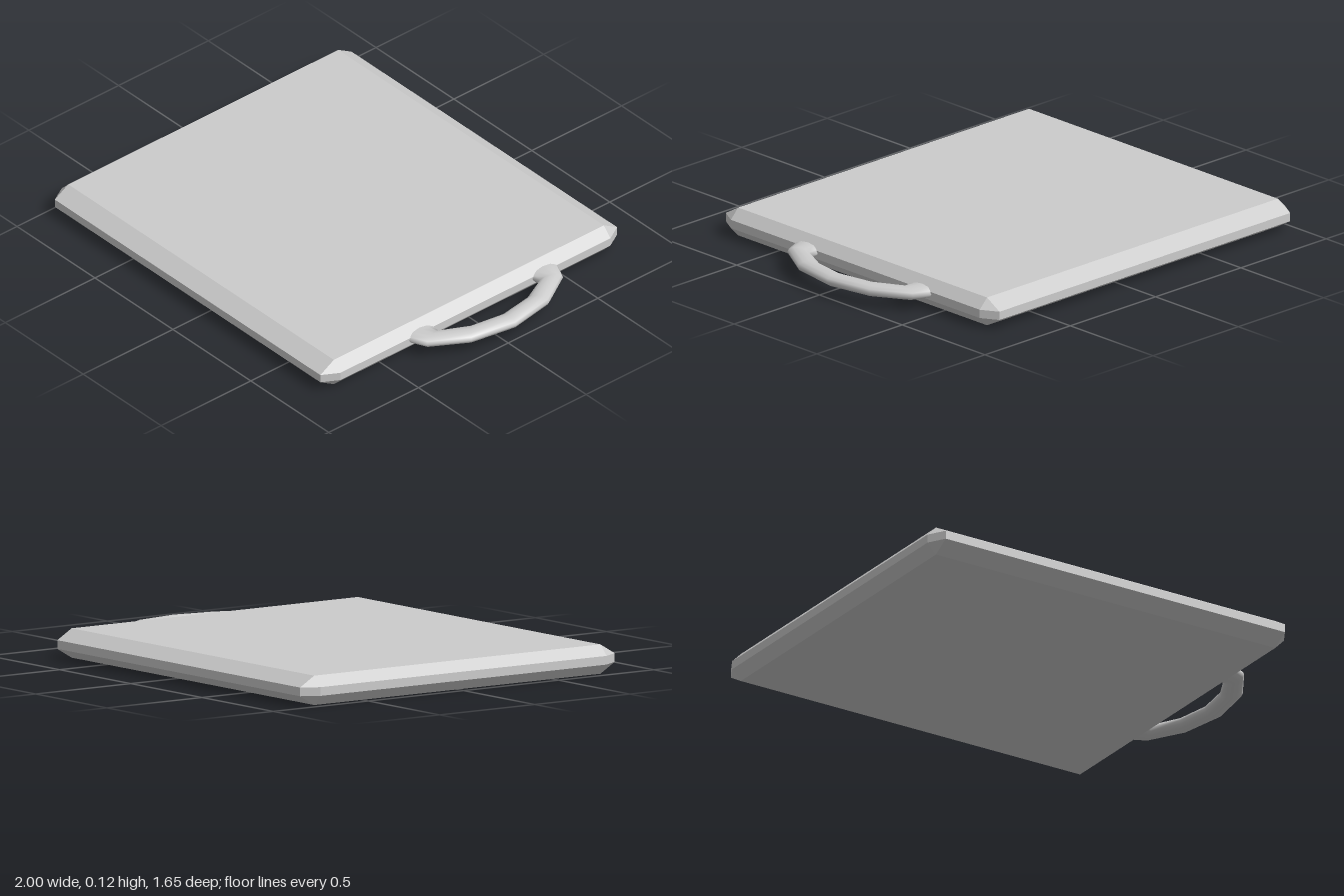
import * as THREE from 'three';
import { ConvexGeometry } from 'three/addons/geometries/ConvexGeometry.js';

const material = new THREE.MeshStandardMaterial({ color: 0xcccccc });

// Box with every edge and corner chamfered
function chamferedBox(w, h, d, cx, cy, cz) {
  const points = [];
  const X = w / 2, Y = h / 2, Z = d / 2;
  for (const sx of [-1, 1]) for (const sy of [-1, 1]) for (const sz of [-1, 1]) {
    points.push(
      new THREE.Vector3(sx * X, sy * (Y - cy), sz * (Z - cz)),
      new THREE.Vector3(sx * (X - cx), sy * Y, sz * (Z - cz)),
      new THREE.Vector3(sx * (X - cx), sy * (Y - cy), sz * Z));
  }
  return new ConvexGeometry(points);
}

// Oval loops strung between outer and inner edge points [x, z]
function ovalLoft(sections, y, ry, sides) {
  const positions = [], index = [];
  sections.forEach(([ox, oz, ix, iz], i) => {
    for (let j = 0; j < sides; j++) {
      const a = (j / sides) * Math.PI * 2, c = Math.cos(a) / 2;
      positions.push((ox + ix) / 2 + (ox - ix) * c, y + ry * Math.sin(a), (oz + iz) / 2 + (oz - iz) * c);
      if (i < sections.length - 1) {
        const p = i * sides + j, q = i * sides + (j + 1) % sides;
        index.push(p, q, p + sides, q, q + sides, p + sides);
      }
    }
  });
  const geometry = new THREE.BufferGeometry();
  geometry.setAttribute('position', new THREE.Float32BufferAttribute(positions, 3));
  geometry.setIndex(index);
  geometry.computeVertexNormals();
  return geometry;
}

export function createModel() {
  const group = new THREE.Group();

  // Flat slab with bevelled rim
  const board = new THREE.Mesh(chamferedBox(1.79, 0.125, 1.654, 0.043, 0.044, 0.075), material);
  board.name = 'board';
  board.position.set(-0.105, 0.0625, 0);
  group.add(board);

  // Bowed grip, its flared ends sunk into the board's edge
  const half = [
    [0.75, -0.435, 0.75, -0.26],
    [0.79, -0.415, 0.79, -0.272],
    [0.863, -0.38, 0.825, -0.278],
    [0.962, -0.217, 0.886, -0.155],
  ];
  const mirrored = half.map(([ox, oz, ix, iz]) => [ox, -oz, ix, -iz]).reverse();
  const handle = new THREE.Mesh(
    ovalLoft([...half, [1, 0, 0.91, 0], ...mirrored], 0.07, 0.027, 12), material);
  handle.name = 'handle';
  handle.position.z = -0.045;
  group.add(handle);

  return group;
}
